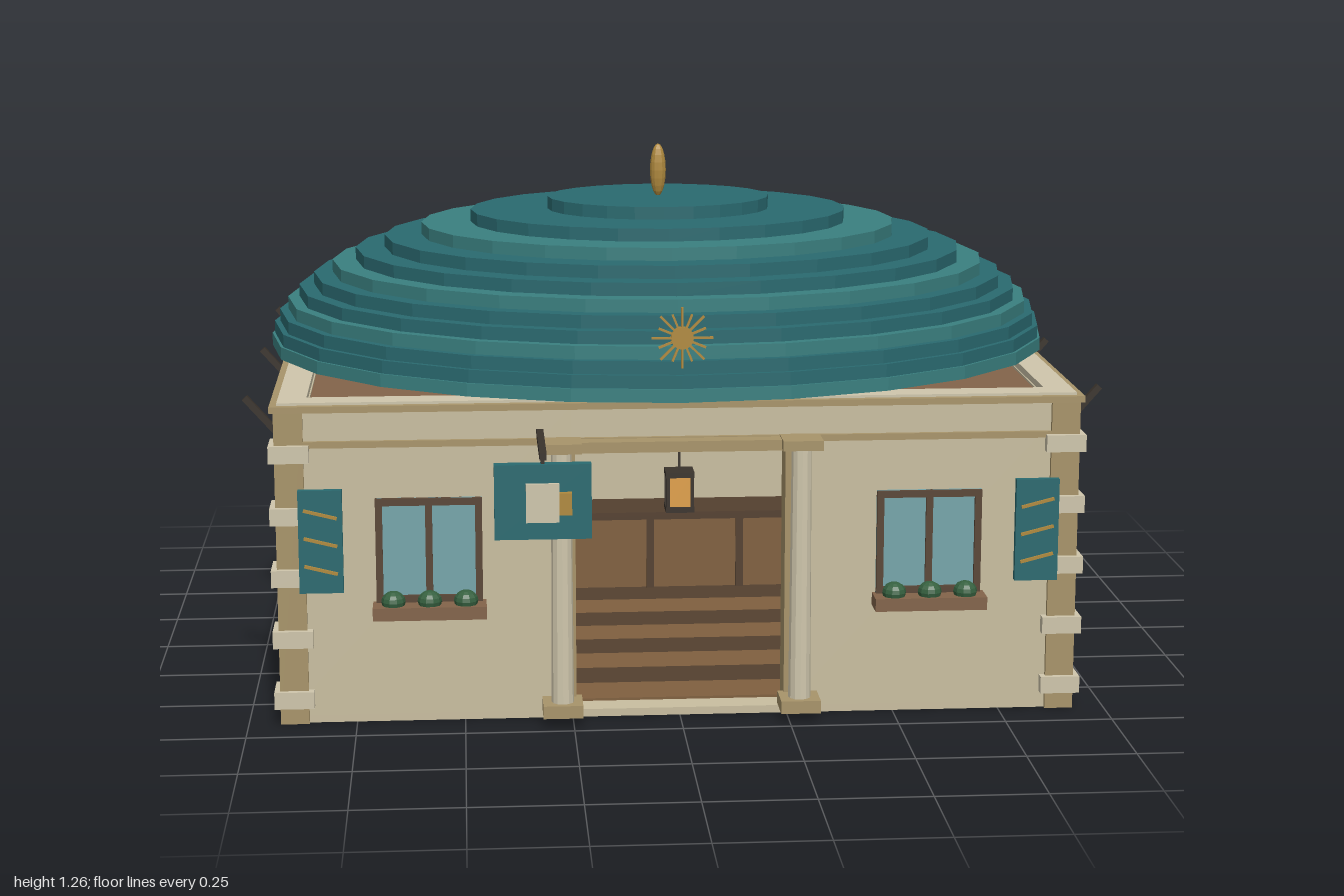
import * as THREE from 'three';

const C = {
  wall: 0xc9bea0, tan: 0xa8946a, light: 0xcfc6ac, roof: 0x83644a, teal: 0x2a6a70, tealLight: 0x3a8080,
  dark: 0x3a332c, frame: 0x5a4636, glass: 0x76a5aa, gold: 0xb08a3e, green: 0x35603f, wood: 0x80603f,
  woodDark: 0x54402f, lamp: 0xe0a04a,
};
const mats = {};
const mat = (name) => (mats[name] ??= new THREE.MeshStandardMaterial({ color: C[name], flatShading: true }));

function add(parent, name, geo, color, x = 0, y = 0, z = 0) {
  const m = new THREE.Mesh(geo, mat(color));
  m.name = name;
  m.position.set(x, y, z);
  parent.add(m);
  return m;
}

// Box given by its limits on each axis
function box(parent, name, color, x0, x1, y0, y1, z0, z1) {
  return add(parent, name, new THREE.BoxGeometry(x1 - x0, y1 - y0, z1 - z0), color,
    (x0 + x1) / 2, (y0 + y1) / 2, (z0 + z1) / 2);
}

function group(parent, name) {
  const g = new THREE.Group();
  g.name = name;
  parent.add(g);
  return g;
}

// Rectangular ring lying flat, from outer limits and width
function ring(parent, name, color, x, z0, z1, y0, y1, w) {
  const g = group(parent, name);
  box(g, name + 'Front', color, -x, x, y0, y1, z1 - w, z1);
  box(g, name + 'Back', color, -x, x, y0, y1, z0, z0 + w);
  for (const s of [-1, 1]) {
    const a = s * x, b = s * (x - w);
    box(g, name + 'Side', color, Math.min(a, b), Math.max(a, b), y0, y1, z0 + w, z1 - w);
  }
}

// Two-pane window facing +z, centred on its own origin
function makeWindow(parent) {
  const g = group(parent, 'window'), w = 0.122, h = 0.122, t = 0.016;
  box(g, 'glass', 'glass', -w, w, -h, h, -0.005, 0.004);
  for (const s of [-1, 1]) {
    box(g, 'frameRail', 'frame', -w, w, s * (h - t / 2) - t / 2, s * (h - t / 2) + t / 2, -0.005, 0.012);
    box(g, 'frameStile', 'frame', s * (w - t / 2) - t / 2, s * (w - t / 2) + t / 2, -h, h, -0.005, 0.012);
  }
  box(g, 'mullion', 'frame', -0.008, 0.008, -h, h, -0.005, 0.012);
  return g;
}

function buildShell(root) {
  const g = group(root, 'walls');
  box(g, 'base', 'wall', -0.91, 0.91, 0, 0.018, -0.83, 0.645);
  box(g, 'backWall', 'wall', -0.91, 0.91, 0.018, 0.74, -0.83, -0.77);
  for (const s of [-1, 1]) {
    box(g, 'sideWall', 'wall', s * 0.88 - 0.03, s * 0.88 + 0.03, 0.018, 0.74, -0.77, 0.585);
    box(g, 'frontWall', 'wall', s * 0.58 - 0.33, s * 0.58 + 0.33, 0.018, 0.74, 0.585, 0.645);
  }
  box(g, 'frontHeader', 'wall', -0.25, 0.25, 0.645, 0.74, 0.585, 0.645);
  box(g, 'flatRoof', 'roof', -0.86, 0.86, 0.69, 0.735, -0.78, 0.58);
  ring(g, 'cornice', 'tan', 0.935, -0.85, 0.662, 0.735, 0.75, 0.03);
  ring(g, 'parapetCap', 'light', 0.918, -0.833, 0.645, 0.735, 0.756, 0.065);
  // String course and plinth
  for (const [y0, y1] of [[0.652, 0.667], [0.035, 0.05]]) {
    box(g, 'bandBack', 'tan', -0.92, 0.92, y0, y1, -0.84, -0.82);
    for (const s of [-1, 1]) box(g, 'bandSide', 'tan', s * 0.91 - 0.01, s * 0.91 + 0.01, y0, y1, -0.84, 0.65);
  }
  box(g, 'bandFront', 'tan', -0.92, 0.92, 0.652, 0.667, 0.635, 0.655);
  // Corner posts with projecting stones
  for (const sx of [-1, 1]) for (const z of [-0.807, 0.623]) {
    const x = sx * 0.893;
    box(g, 'cornerPost', 'tan', x - 0.033, x + 0.033, 0, 0.736, z - 0.033, z + 0.033);
    for (let i = 0; i < 5; i++) {
      const y = 0.06 + i * 0.145;
      box(g, 'cornerStone', 'light', x - 0.046, x + 0.046, y - 0.02, y + 0.02, z - 0.046, z + 0.046);
    }
  }
  // Slanted eave braces
  for (const s of [-1, 1]) for (const z of [0.52, -0.095, -0.705]) {
    const b = add(g, 'eaveBrace', new THREE.BoxGeometry(0.015, 0.125, 0.015), 'dark', s * 0.957, 0.698, z);
    b.rotation.z = -s * 0.72;
  }
}

function buildDome(root) {
  const g = group(root, 'dome');
  const n = 12, h = 0.37 / n;
  for (let i = 0; i < n; i++) {
    const r = Math.sqrt(1 - ((i + 0.5) / n) ** 2);
    const d = add(g, 'domeTier', new THREE.CylinderGeometry(1, 1, h, 24), i % 3 ? 'teal' : 'tealLight',
      0, 0.756 + h * (i + 0.5), -0.098);
    d.scale.set(0.973 * r, 1, 0.803 * r);
  }
  add(g, 'finial', new THREE.SphereGeometry(1, 12, 10), 'gold', 0, 1.19, -0.098).scale.set(0.02, 0.066, 0.02);
  // Sunburst ornament
  const sun = group(root, 'sunburst');
  sun.position.set(0, 0.905, 0.7);
  add(sun, 'sunDisc', new THREE.CylinderGeometry(0.026, 0.026, 0.012, 16), 'gold').rotation.x = Math.PI / 2;
  for (let i = 0; i < 16; i++) {
    const a = i * Math.PI / 8, l = i % 2 ? 0.058 : 0.07;
    const ray = add(sun, 'sunRay', new THREE.BoxGeometry(l, 0.005, 0.006), 'gold',
      Math.cos(a) * l / 2, Math.sin(a) * l / 2, 0);
    ray.rotation.z = a;
  }
}

function buildFront(root) {
  const g = group(root, 'facade');
  for (const s of [-1, 1]) {
    // Entrance columns
    const x = s * 0.275;
    add(g, 'column', new THREE.CylinderGeometry(0.023, 0.026, 0.6, 12), 'light', x, 0.35, 0.688);
    box(g, 'columnBase', 'tan', x - 0.046, x + 0.046, 0.022, 0.052, 0.64, 0.727);
    box(g, 'columnCap', 'tan', x - 0.046, x + 0.046, 0.645, 0.668, 0.64, 0.727);
    box(g, 'doorJamb', 'tan', s * 0.252 - 0.01, s * 0.252 + 0.01, 0.018, 0.645, 0.58, 0.655);
    // Window, flower box and shutter
    makeWindow(g).position.set(s * 0.578, 0.41, 0.648);
    box(g, 'flowerBox', 'roof', s * 0.578 - 0.13, s * 0.578 + 0.13, 0.258, 0.288, 0.645, 0.71);
    for (const dx of [-0.083, 0, 0.083])
      add(g, 'plant', new THREE.SphereGeometry(0.028, 10, 8), 'green', s * 0.578 + dx, 0.297, 0.68).scale.y = 0.85;
    const sh = group(g, 'shutter');
    sh.position.set(s * 0.823, 0.443, 0.688);
    box(sh, 'shutterPanel', 'teal', -0.05, 0.05, -0.12, 0.12, -0.008, 0.008);
    for (const y of [-0.065, 0, 0.065])
      add(sh, 'shutterSlat', new THREE.BoxGeometry(0.078, 0.007, 0.008), 'gold', 0, y, 0.01).rotation.z = s * 0.25;
    for (const y of [-0.08, 0.08]) box(sh, 'hinge', 'dark', -0.01, 0.01, y - 0.008, y + 0.008, -0.045, -0.006);
  }
  box(g, 'lintel', 'tan', -0.32, 0.32, 0.64, 0.665, 0.64, 0.695);
  // Side windows
  for (const s of [-1, 1]) for (const z of [0.152, -0.458]) {
    const w = makeWindow(g);
    w.position.set(s * 0.913, 0.413, z);
    w.rotation.y = s * Math.PI / 2;
  }
  // Lantern in the doorway
  const l = group(g, 'lantern');
  l.position.set(0, 0.533, 0.615);
  box(l, 'lanternGlass', 'lamp', -0.026, 0.026, -0.036, 0.036, -0.026, 0.026);
  for (const y of [-0.041, 0.041]) box(l, 'lanternPlate', 'dark', -0.033, 0.033, y - 0.006, y + 0.006, -0.033, 0.033);
  for (const x of [-0.028, 0.028]) for (const z of [-0.028, 0.028])
    box(l, 'lanternBar', 'dark', x - 0.004, x + 0.004, -0.04, 0.04, z - 0.004, z + 0.004);
  box(l, 'lanternRod', 'dark', -0.003, 0.003, 0.045, 0.115, -0.003, 0.003);
  // Hanging sign with a mug
  const s = group(g, 'hangingSign');
  s.position.x = -0.322;
  box(s, 'signArm', 'dark', -0.008, 0.008, 0.672, 0.688, 0.64, 0.9);
  box(s, 'signLink', 'dark', -0.004, 0.004, 0.65, 0.675, 0.852, 0.86);
  box(s, 'signBoard', 'teal', -0.108, 0.108, 0.485, 0.655, 0.843, 0.869);
  box(s, 'mug', 'light', -0.038, 0.036, 0.525, 0.613, 0.865, 0.878);
  const handle = new THREE.Shape().moveTo(0, -0.025).lineTo(0.028, -0.025).lineTo(0.028, 0.025).lineTo(0, 0.025);
  add(s, 'mugHandle', new THREE.ExtrudeGeometry(handle, { depth: 0.02, bevelEnabled: false }), 'gold', 0.036, 0.568, 0.865);
}

function buildInterior(root) {
  const g = group(root, 'interior');
  const n = 11, d = 1.35 / n;
  for (let i = 0; i < n; i++)
    box(g, 'floorPlank', i % 2 ? 'woodDark' : 'wood', -0.85, 0.85, 0.018, 0.024, -0.768 + i * d, -0.768 + (i + 1) * d);
  // Counter with posts on its front
  box(g, 'counter', 'wood', -0.5, 0.5, 0.024, 0.215, -0.52, -0.4);
  box(g, 'counterTop', 'woodDark', -0.52, 0.52, 0.215, 0.235, -0.54, -0.38);
  for (let i = -2; i <= 2; i++)
    box(g, 'counterPost', 'woodDark', i * 0.24 - 0.01, i * 0.24 + 0.01, 0.024, 0.215, -0.4, -0.39);
  // Tables with benches either side
  for (const s of [-1, 1]) for (const z of [-0.12, 0.25]) {
    const t = group(g, 'tableSet');
    t.position.set(s * 0.57, 0, z);
    box(t, 'tableTop', 'woodDark', -0.07, 0.07, 0.15, 0.17, -0.13, 0.13);
    box(t, 'tableLeg', 'wood', -0.02, 0.02, 0.024, 0.15, -0.08, 0.08);
    for (const x of [-0.125, 0.125]) {
      box(t, 'benchSeat', 'wood', x - 0.03, x + 0.03, 0.085, 0.1, -0.12, 0.12);
      for (const bz of [-0.09, 0.09]) box(t, 'benchLeg', 'woodDark', x - 0.02, x + 0.02, 0.024, 0.085, bz - 0.012, bz + 0.012);
    }
  }
}

export function createModel() {
  const root = new THREE.Group();
  root.name = 'tavern';
  buildShell(root);
  buildDome(root);
  buildFront(root);
  buildInterior(root);
  return root;
}
